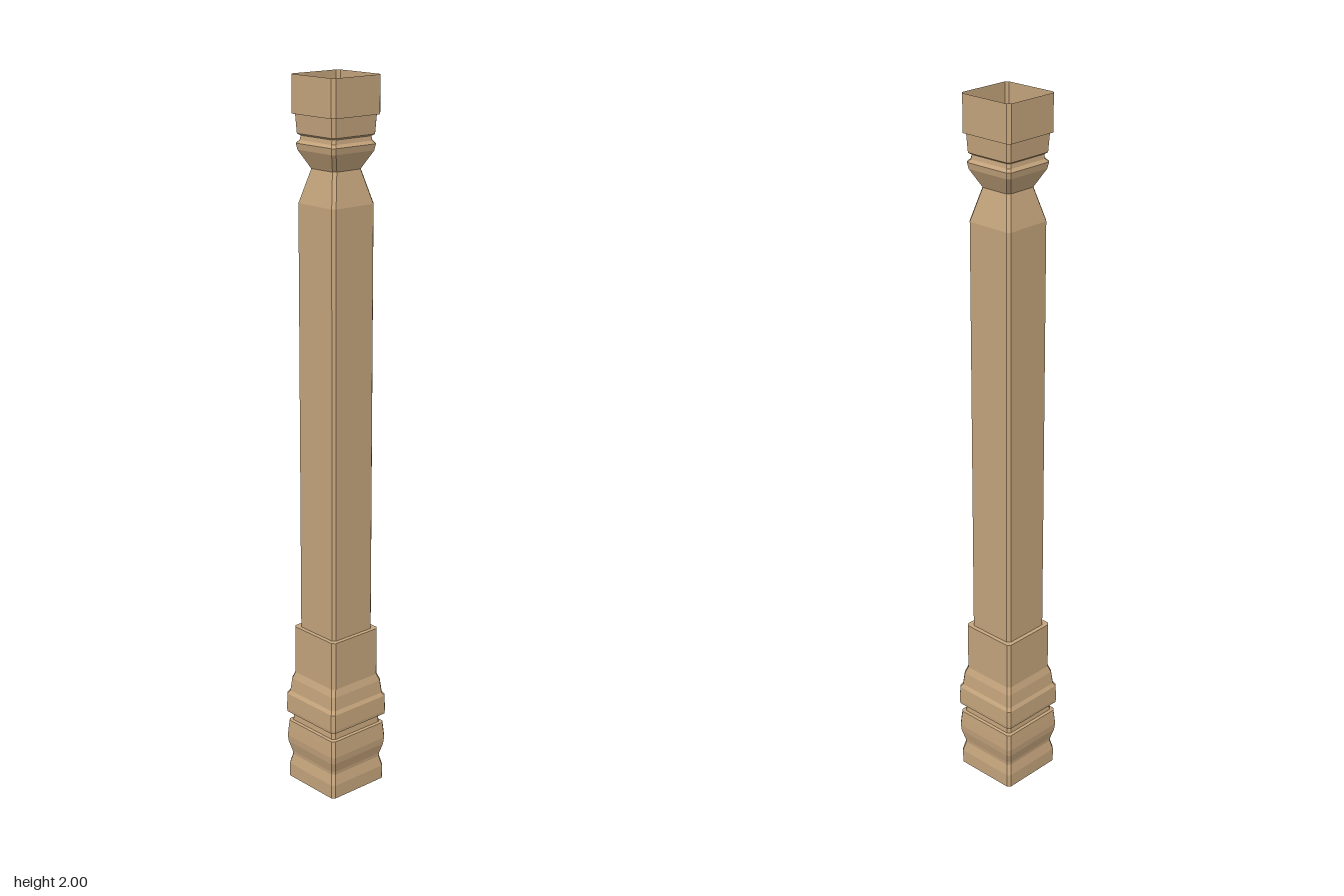
import * as THREE from 'three';

const wood = new THREE.MeshStandardMaterial({ color: 0xc4a47c, flatShading: true, side: THREE.DoubleSide });
const CHAMFER = 0.008;

// Square ring with clipped corners, counter-clockwise seen from above
function ring(half, y) {
  const c = half - CHAMFER;
  const pts = [];
  for (let i = 0; i < 4; i++) {
    const a = (i * Math.PI) / 2;
    for (const [x, z] of [[half, c], [half, -c]]) {
      pts.push([x * Math.cos(a) + z * Math.sin(a), y, -x * Math.sin(a) + z * Math.cos(a)]);
    }
  }
  return pts;
}

// Open shell lofted through [half width, height] profile points
function squareShell(name, profile) {
  const rings = profile.map(([half, y]) => ring(half, y));
  const position = [];
  for (let i = 0; i < rings.length - 1; i++) {
    for (let j = 0; j < 8; j++) {
      const k = (j + 1) % 8;
      const a = rings[i][j], b = rings[i][k], c = rings[i + 1][k], d = rings[i + 1][j];
      position.push(...a, ...b, ...c, ...a, ...c, ...d);
    }
  }
  const geometry = new THREE.BufferGeometry();
  geometry.setAttribute('position', new THREE.Float32BufferAttribute(position, 3));
  geometry.computeVertexNormals();
  const mesh = new THREE.Mesh(geometry, wood);
  mesh.name = name;
  return mesh;
}

export function createModel() {
  const group = new THREE.Group();
  group.name = 'column';

  // Moulded foot: plinth, rounded bulge, collar and plain block
  group.add(squareShell('base', [
    [0.098, 0], [0.098, 0.04], [0.091, 0.07], [0.092, 0.08],
    [0.1, 0.11], [0.102, 0.13], [0.1, 0.155], [0.098, 0.178],
    [0.09, 0.18], [0.088, 0.204], [0.102, 0.206], [0.103, 0.215],
    [0.102, 0.262], [0.096, 0.272], [0.092, 0.31], [0.085, 0.33],
    [0.085, 0.47], [0.073, 0.47],
  ]));

  // Long shaft tapering into the neck
  group.add(squareShell('shaft', [[0.073, 0.47], [0.073, 1.67], [0.049, 1.76]]));

  // Flared capital with stepped mouldings, open at the top
  group.add(squareShell('capital', [
    [0.049, 1.76], [0.074, 1.808], [0.077, 1.825], [0.07, 1.833],
    [0.068, 1.845], [0.075, 1.85], [0.078, 1.9], [0.084, 1.9], [0.084, 2],
  ]));

  return group;
}
